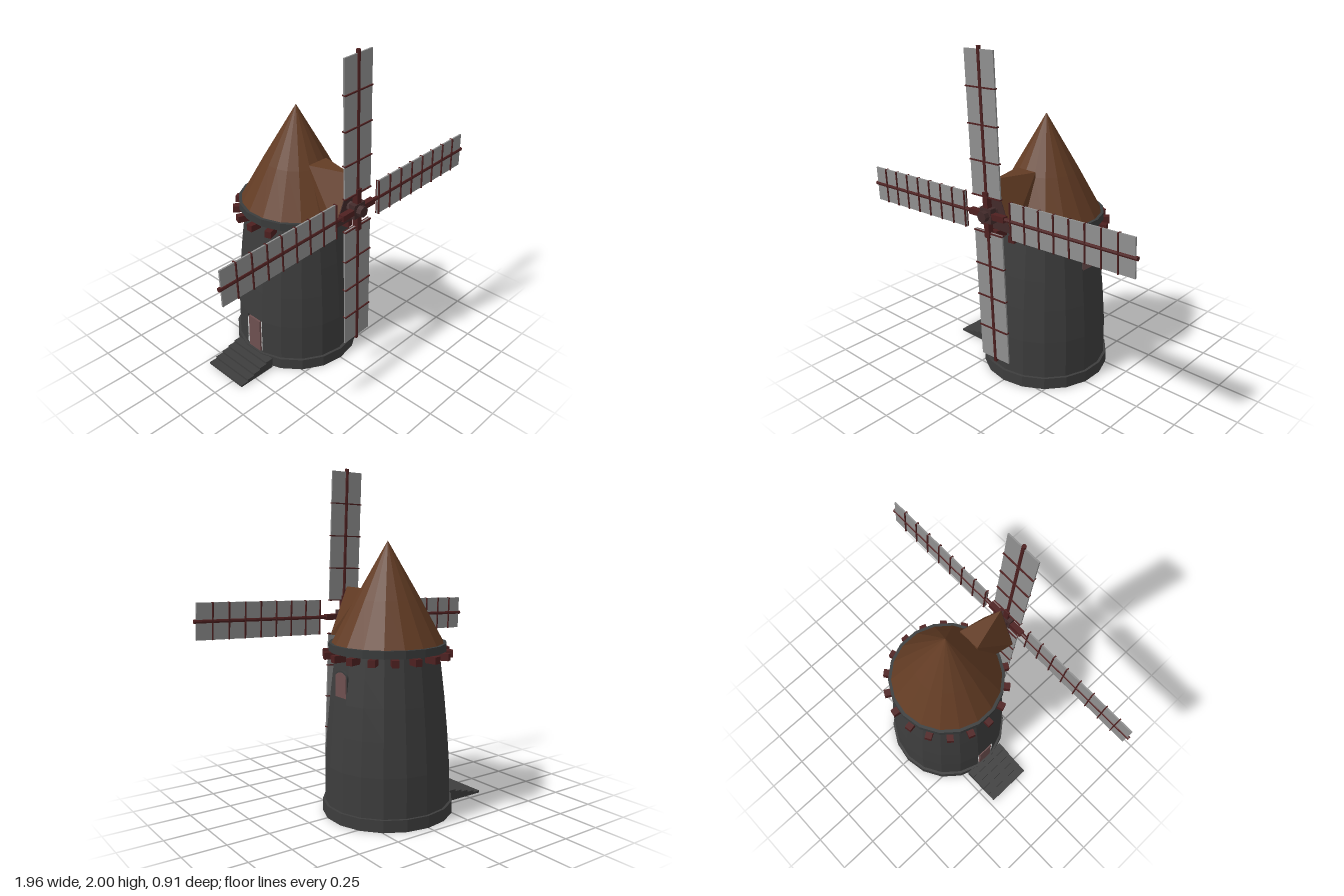
import * as THREE from 'three';
import { ConvexGeometry } from 'three/addons/geometries/ConvexGeometry.js';

const SIDES = 18, TOWER_Z = -0.07;
const rad = THREE.MathUtils.degToRad;

function paint(name, color, side = THREE.FrontSide) {
  const m = new THREE.MeshStandardMaterial({ color, side });
  m.name = name;
  return m;
}

// faceted copy of a geometry
function facet(geometry) {
  const g = geometry.index ? geometry.toNonIndexed() : geometry;
  g.computeVertexNormals();
  return g;
}

function add(parent, name, geometry, material, x = 0, y = 0, z = 0) {
  const mesh = new THREE.Mesh(geometry, material);
  mesh.name = name;
  mesh.position.set(x, y, z);
  parent.add(mesh);
  return mesh;
}

function turned(profile, skipFaces = 0) {
  const step = Math.PI * 2 / SIDES;
  const points = profile.map(([r, y]) => new THREE.Vector2(r, y));
  // a skipped face leaves an opening on the -x side
  return facet(new THREE.LatheGeometry(points, SIDES - skipFaces, step * 14, step * (SIDES - skipFaces)));
}

function archShape(width, height) {
  const w = width / 2, rise = w * 0.6, s = new THREE.Shape();
  s.moveTo(-w, 0);
  s.lineTo(w, 0);
  s.lineTo(w, height - rise);
  s.absellipse(0, height - rise, w, rise, 0, Math.PI, false);
  s.closePath();
  return s;
}

function arch(width, height, depth) {
  return new THREE.ExtrudeGeometry(archShape(width, height), { depth, bevelEnabled: false, curveSegments: 8 });
}

export function createModel() {
  const model = new THREE.Group();
  model.name = 'windmill';
  const stone = paint('dark stone', 0x3d3d3d, THREE.DoubleSide);
  const trim = paint('trim stone', 0x3a3c3c);
  const shingle = paint('brown roof', 0x633c24);
  const wood = paint('dark red wood', 0x4e2020);
  const darkWood = paint('dark brown wood', 0x432b2b);
  const panel = paint('dusty pink wood', 0x6e5050);
  const cloth = paint('grey sailcloth', 0x909090);

  const tower = new THREE.Group();
  tower.name = 'tower';
  tower.position.z = TOWER_Z;
  model.add(tower);

  // hollow tower with a doorway
  add(tower, 'plinth', turned([[0.36, 0], [0.384, 0], [0.384, 0.07], [0.36, 0.07], [0.36, 0]]), stone);
  add(tower, 'lowerWall', turned([[0.368, 0.07], [0.366, 0.3]], 1), stone);
  add(tower, 'upperWall', turned([[0.366, 0.3], [0.352, 0.5], [0.335, 0.68], [0.316, 0.84], [0.302, 0.96]]), stone);
  add(tower, 'topRing', turned([[0.29, 0.955], [0.342, 0.955], [0.342, 1.0], [0.29, 1.0]]), trim);
  add(tower, 'roof', turned([[0.327, 0.995], [0.188, 1.25], [0, 1.577]]), shingle);
  const underside = add(tower, 'roofUnderside', new THREE.CircleGeometry(0.325, SIDES), shingle, 0, 0.997, 0);
  underside.rotation.x = Math.PI / 2;

  // brackets below the ring, one per wall face
  for (let i = 0; i < SIDES; i++) {
    const bracket = new THREE.Group();
    bracket.name = 'bracket';
    bracket.rotation.y = i * Math.PI * 2 / SIDES;
    add(bracket, 'bracketBeam', new THREE.BoxGeometry(0.085, 0.04, 0.04), wood, 0.333, 0.935, 0);
    tower.add(bracket);
  }

  // door, narrower than its opening
  add(tower, 'door', new THREE.BoxGeometry(0.012, 0.225, 0.095), panel, -0.36, 0.18, 0);

  // arched window on the left wall
  add(tower, 'windowFrame', arch(0.118, 0.165, 0.04), trim, 0.282, 0.7, 0).rotation.y = Math.PI / 2;
  add(tower, 'windowPanel', arch(0.104, 0.15, 0.004), panel, 0.322, 0.705, 0).rotation.y = Math.PI / 2;

  // entrance steps
  for (let i = 0; i < 5; i++) {
    const h = 0.013 * (i + 1);
    add(tower, 'step', new THREE.BoxGeometry(0.05, h, 0.295), stone, -0.585 + i * 0.05, h / 2, 0);
  }

  // dormer: pointed front, square back sunk into the roof
  const corners = [];
  for (const s of [-1, 1]) {
    corners.push(
      new THREE.Vector3(s * 0.12, 1.0, 0.35),
      new THREE.Vector3(s * 0.07, 1.28, 0.1),
      new THREE.Vector3(s * 0.07, 1.0, 0.1));
  }
  corners.push(new THREE.Vector3(0, 1.29, 0.35));
  add(model, 'dormer', new ConvexGeometry(corners), shingle);
  const gable = new THREE.Shape([
    new THREE.Vector2(-0.118, 1.001), new THREE.Vector2(0.118, 1.001), new THREE.Vector2(0, 1.287)]);
  add(model, 'dormerGable', new THREE.ExtrudeGeometry(gable, { depth: 0.004, bevelEnabled: false }), darkWood, 0, 0, 0.35);

  // sail wheel
  const wheel = new THREE.Group();
  wheel.name = 'sailWheel';
  wheel.position.set(-0.005, 1.098, 0.405);
  wheel.rotation.z = rad(2.4);
  model.add(wheel);
  const axle = add(wheel, 'axle', facet(new THREE.CylinderGeometry(0.032, 0.032, 0.13, 8)), darkWood, 0, 0, -0.015);
  axle.rotation.x = Math.PI / 2;
  add(wheel, 'hub', new THREE.BoxGeometry(0.085, 0.085, 0.04), darkWood);

  for (let i = 0; i < 4; i++) {
    const across = i % 2 === 1;
    const tip = across ? 0.978 : 0.904;
    const inner = across ? 0.17 : 0.1;
    const length = across ? 0.795 : 0.786;
    const arm = new THREE.Group();
    arm.name = 'sail';
    arm.rotation.z = i * Math.PI / 2;
    wheel.add(arm);
    add(arm, 'spar', facet(new THREE.CylinderGeometry(0.012, 0.012, tip, 8)), wood, 0, tip / 2, 0);
    add(arm, 'sparClamp', new THREE.BoxGeometry(0.034, 0.12, 0.034), wood, 0, 0.07, 0);
    add(arm, 'sailcloth', new THREE.BoxGeometry(0.21, length, 0.009), cloth, 0, inner + length / 2, 0);
    // slats across the cloth
    const count = across ? 8 : 4;
    for (let k = 0; k < count; k++) {
      add(arm, 'slat', new THREE.BoxGeometry(0.212, 0.007, 0.024), wood, 0, inner + 0.004 + k * length / count, 0);
    }
  }
  return model;
}
